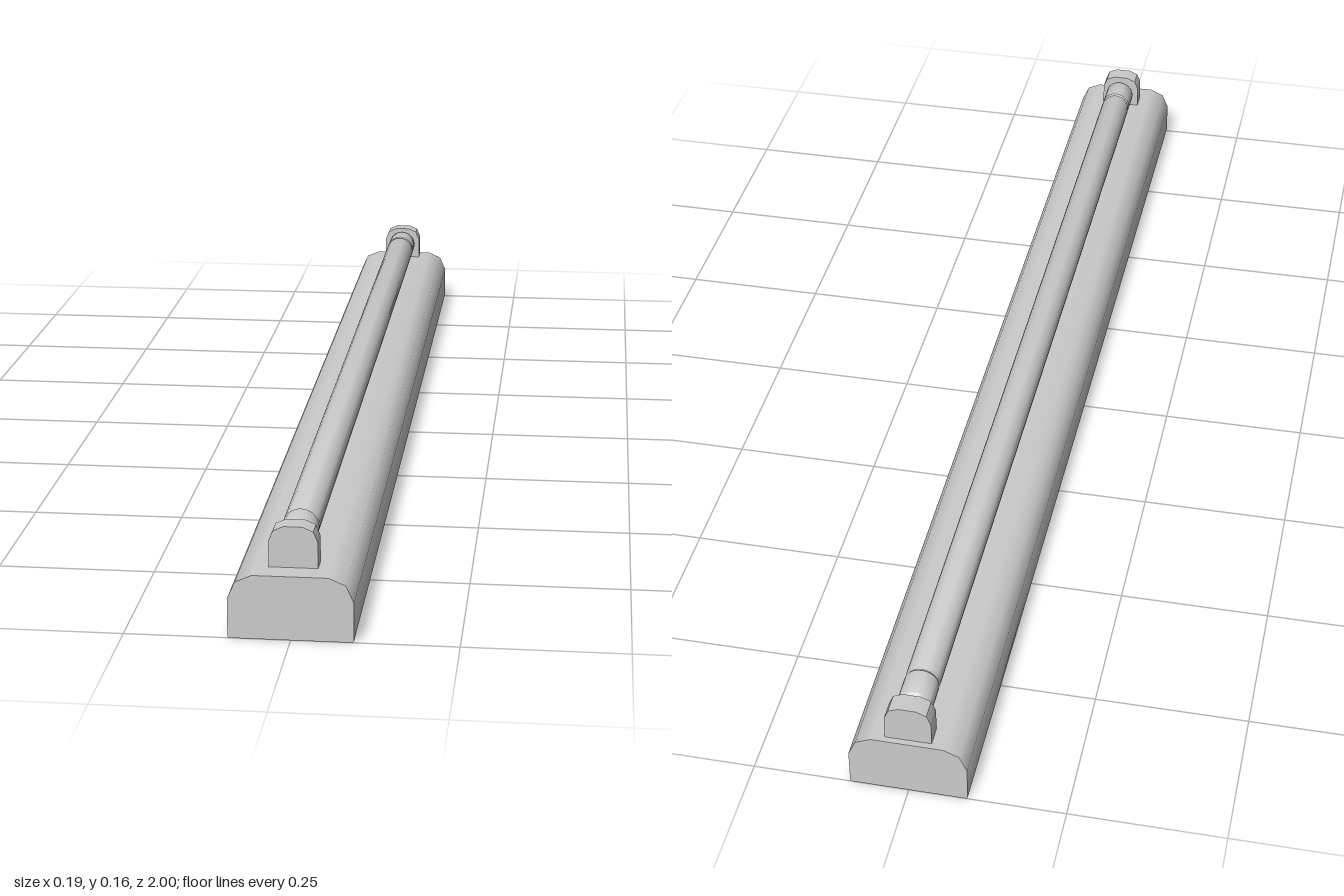
import * as THREE from 'three';
import { toCreasedNormals } from 'three/addons/utils/BufferGeometryUtils.js';

const grey = new THREE.MeshStandardMaterial({ color: 0xcccccc });
const MID_Z = -0.0135; // the lamp sits slightly off centre along the base
const TUBE_Y = 0.131;

function addMesh(parent, name, geometry) {
  const mesh = new THREE.Mesh(geometry, grey);
  mesh.name = name;
  parent.add(mesh);
  return mesh;
}

// Mirrors a right-hand outline (bottom to top) and extrudes it along z, centred
function extrudeProfile(half, depth) {
  const left = half.map(([x, y]) => [-x, y]).reverse();
  const shape = new THREE.Shape([...half, ...left].map(([x, y]) => new THREE.Vector2(x, y)));
  const geometry = new THREE.ExtrudeGeometry(shape, { depth, bevelEnabled: false });
  geometry.translate(0, 0, -depth / 2);
  return toCreasedNormals(geometry, 0.75);
}

// Turns a [radius, z] outline around the z axis
function turned(points) {
  const geometry = new THREE.LatheGeometry(points.map(([r, z]) => new THREE.Vector2(r, z)), 24);
  geometry.rotateX(Math.PI / 2);
  return toCreasedNormals(geometry, 0.6);
}

export function createModel() {
  const model = new THREE.Group();
  model.name = 'tubeLight';

  // Long housing with softened upper edges
  addMesh(model, 'housing', extrudeProfile(
    [[0.092, 0], [0.094, 0.003], [0.094, 0.062], [0.082, 0.089], [0.057, 0.1]], 2));

  const lamp = new THREE.Group();
  lamp.name = 'lamp';
  lamp.position.z = MID_Z;
  model.add(lamp);

  // Tube with rounded shoulders
  const tube = addMesh(lamp, 'tube', turned([
    [0, -0.882], [0.022, -0.882], [0.026, -0.879], [0.028, -0.872],
    [0.028, 0.872], [0.026, 0.879], [0.022, 0.882], [0, 0.882]]));
  tube.position.y = TUBE_Y;

  for (const side of [1, -1]) {
    const end = new THREE.Group();
    end.name = side > 0 ? 'frontEnd' : 'backEnd';
    end.rotation.y = side > 0 ? 0 : Math.PI;
    lamp.add(end);

    // End cap of the tube
    const cap = addMesh(end, 'endCap', turned([
      [0, 0.878], [0.024, 0.878], [0.028, 0.883],
      [0.028, 0.931], [0.024, 0.937], [0, 0.937]]));
    cap.position.y = TUBE_Y;

    // Contact pins between cap and holder
    for (const x of [-0.012, 0.012]) {
      const pin = addMesh(end, 'pin', new THREE.CylinderGeometry(0.004, 0.004, 0.014, 10));
      pin.rotation.x = Math.PI / 2;
      pin.position.set(x, TUBE_Y, 0.941);
    }

    // Upright lamp holder
    const holder = addMesh(end, 'lampHolder', extrudeProfile(
      [[0.037, 0.098], [0.037, 0.14], [0.03, 0.157], [0.014, 0.164]], 0.033));
    holder.position.z = 0.96;
  }
  return model;
}
